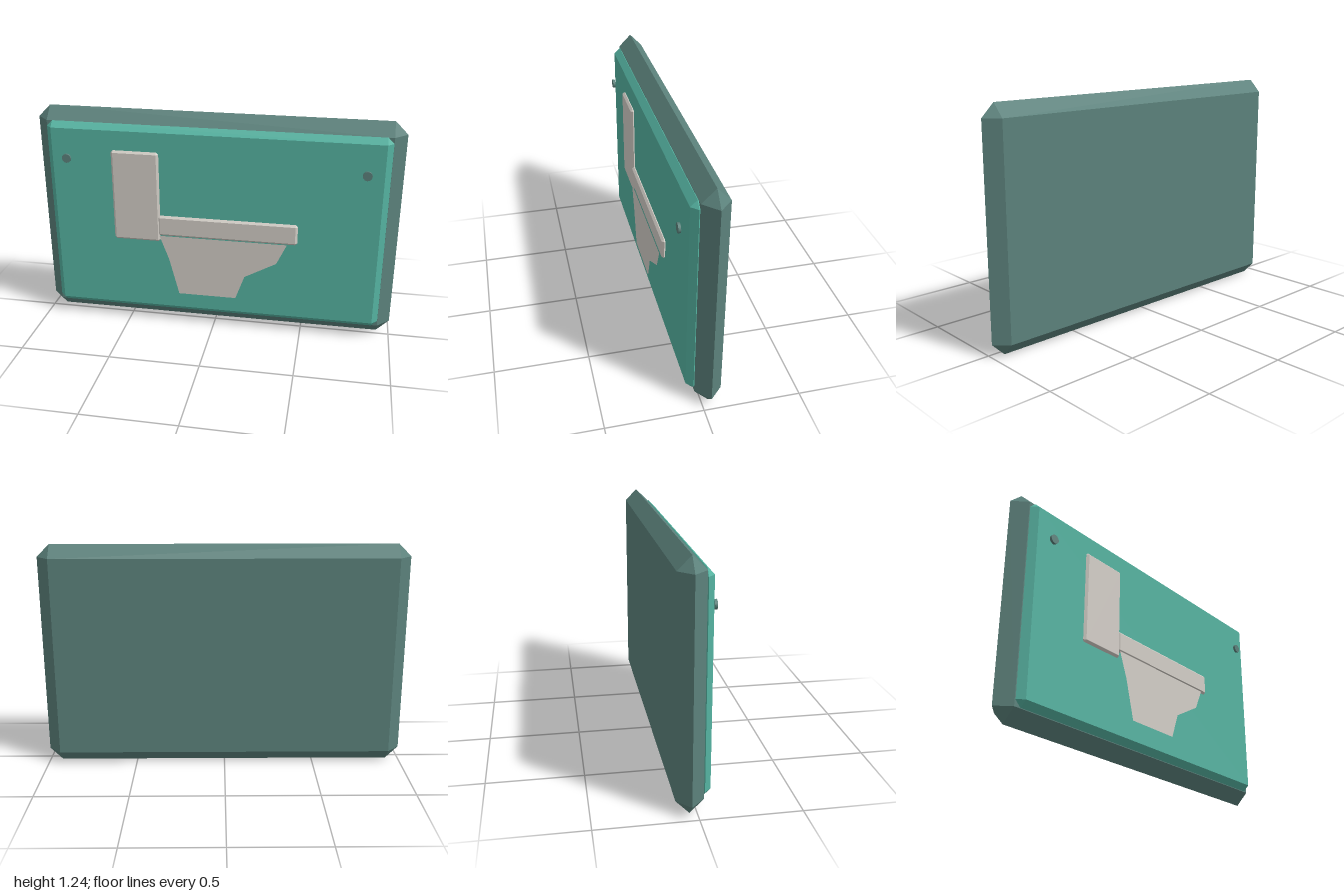
import * as THREE from 'three';
import { ConvexGeometry } from 'three/addons/geometries/ConvexGeometry.js';

function material(name, color, side = THREE.FrontSide) {
  const m = new THREE.MeshStandardMaterial({ color, side });
  m.name = name;
  return m;
}

// Slab whose front and back faces are inset from a ridge running round its rim
function bevelledSlab([x0, x1], [y0, y1], [back, ridge, front], inset) {
  const points = [];
  for (const [x, ix] of [[x0, x0 + inset], [x1, x1 - inset]]) {
    for (const [y, iy] of [[y0, y0 + inset], [y1, y1 - inset]]) {
      points.push(
        new THREE.Vector3(ix, iy, front),
        new THREE.Vector3(ix, iy, back),
        new THREE.Vector3(x, iy, ridge),
        new THREE.Vector3(ix, y, ridge)
      );
    }
  }
  return new ConvexGeometry(points);
}

export function createModel() {
  const group = new THREE.Group();
  group.name = 'toiletSign';

  const slate = material('slate green', 0x5b817b);
  const teal = material('teal', 0x55b3a1);
  const cream = material('warm grey', 0xd2cdc6, THREE.DoubleSide);

  const add = (name, geometry, mat) => {
    const mesh = new THREE.Mesh(geometry, mat);
    mesh.name = name;
    group.add(mesh);
    return mesh;
  };

  // Backing board and raised front panel
  add('board', bevelledSlab([-1, 1], [0, 1.243], [-0.103, -0.036, 0.033], 0.069), slate);
  add('panel', bevelledSlab([-0.93, 0.93], [0.07, 1.176], [0.005, 0.038, 0.071], 0.032), teal);

  // Toilet pictogram: cistern, seat and flat bowl
  const relief = [0.066, 0.078, 0.09];
  add('cistern', bevelledSlab([-0.563, -0.298], [0.516, 1.038], relief, 0.012), cream);
  add('seat', bevelledSlab([-0.312, 0.465], [0.553, 0.673], relief, 0.012), cream);

  const outline = [
    [-0.302, 0.555], [-0.25, 0.415], [-0.195, 0.2], [0.13, 0.2],
    [0.18, 0.34], [0.355, 0.437], [0.41, 0.555]
  ].map(([x, y]) => new THREE.Vector2(x, y));
  const bowl = add('bowl', new THREE.ShapeGeometry(new THREE.Shape(outline)), cream);
  bowl.position.z = 0.0915;

  // Screw heads near the upper corners
  const head = new THREE.CylinderGeometry(0.025, 0.025, 0.013, 12).rotateX(Math.PI / 2);
  for (const [name, side] of [['leftScrew', 1], ['rightScrew', -1]]) {
    add(name, head, slate).position.set(side * 0.809, 0.983, 0.0965);
  }

  return group;
}
